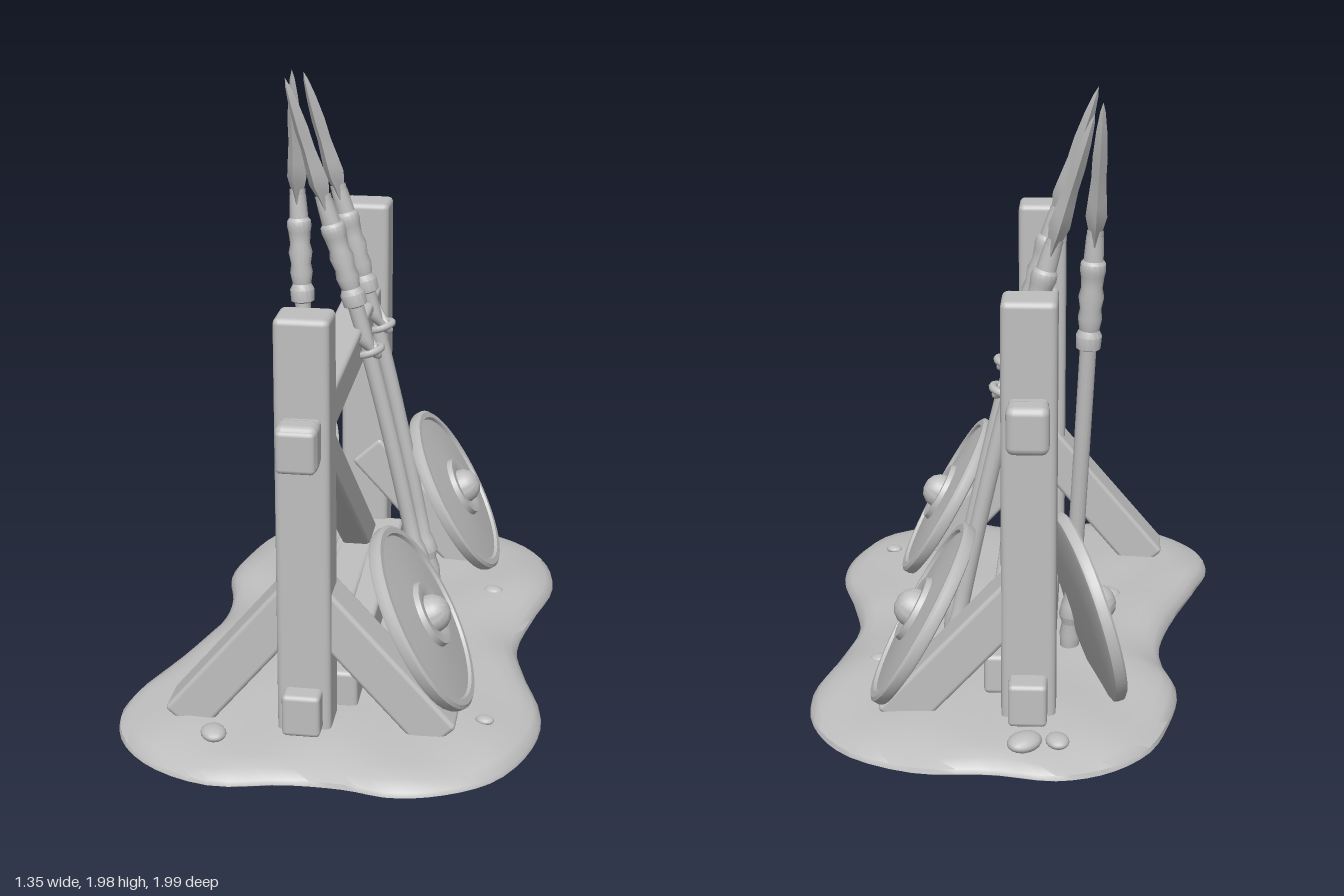
import * as THREE from 'three';
import { toCreasedNormals } from 'three/addons/utils/BufferGeometryUtils.js';
import { RoundedBoxGeometry } from 'three/addons/geometries/RoundedBoxGeometry.js';

const V = (x, y, z) => new THREE.Vector3(x, y, z);
const clay = new THREE.MeshStandardMaterial({ color: 0xbfbfbf });
clay.name = 'clay grey';

function add(parent, name, geometry) {
  const mesh = new THREE.Mesh(geometry, clay);
  mesh.name = name;
  parent.add(mesh);
  return mesh;
}

// Turns an object so its y axis runs from a to b and its z axis is near side
function align(object, a, b, side) {
  const y = b.clone().sub(a).normalize();
  const x = y.clone().cross(side).normalize();
  object.quaternion.setFromRotationMatrix(new THREE.Matrix4().makeBasis(x, y, x.clone().cross(y)));
}

// Squared timber between two points: w across, d along side
function beam(parent, name, a, b, w, d, side = V(0, 0, 1), r = 0.015) {
  const mesh = add(parent, name, new RoundedBoxGeometry(w, a.distanceTo(b), d, 2, r));
  align(mesh, a, b, side);
  mesh.position.copy(a).lerp(b, 0.5);
  return mesh;
}

function lathe(points, sides, crease = 0.6) {
  const g = new THREE.LatheGeometry(points.map(([r, y]) => new THREE.Vector2(r, y)), sides);
  return toCreasedNormals(g, crease);
}

// Earth mound: closed spline outline lofted inward in rings
function mound(parent) {
  const outline = [
    [-0.15, -1], [0.05, -0.97], [0.28, -0.97], [0.5, -0.87], [0.62, -0.7], [0.655, -0.5], [0.6, -0.25],
    [0.56, 0], [0.6, 0.2], [0.67, 0.45], [0.65, 0.65], [0.55, 0.85], [0.4, 0.95], [0.25, 0.985],
    [0.1, 0.96], [-0.08, 0.96], [-0.3, 0.995], [-0.5, 0.92], [-0.63, 0.78], [-0.675, 0.6], [-0.62, 0.4],
    [-0.52, 0.1], [-0.48, -0.1], [-0.49, -0.25], [-0.53, -0.42], [-0.5, -0.62], [-0.43, -0.82], [-0.3, -0.95]];
  const curve = new THREE.CatmullRomCurve3(outline.map(([x, z]) => V(x, 0, z)), true);
  const n = 96;
  const edge = curve.getPoints(n).slice(0, n);
  const rings = [[0, 0.012], [0.98, 0.008], [1, 0.02], [0.995, 0.035], [0.96, 0.055], [0.9, 0.07],
    [0.8, 0.085], [0.6, 0.092], [0.4, 0.095], [0.2, 0.095], [0, 0.095]];
  const pos = [], index = [];
  rings.forEach(([s, h], k) => edge.forEach((p) => {
    const x = p.x * s, z = p.z * s;
    const bump = k > 3 ? 0.008 * Math.sin(x * 13 + 1) * Math.sin(z * 11) : 0;
    pos.push(x, h + bump + 0.014 * (1 - z), z);
  }));
  for (let k = 0; k < rings.length - 1; k++) {
    for (let i = 0; i < n; i++) {
      const a = k * n + i, b = k * n + (i + 1) % n;
      index.push(a, b, b + n, a, b + n, a + n);
    }
  }
  const g = new THREE.BufferGeometry();
  g.setAttribute('position', new THREE.Float32BufferAttribute(pos, 3));
  // Reverse winding so the skin faces outward
  for (let i = 0; i < index.length; i += 3) [index[i + 1], index[i + 2]] = [index[i + 2], index[i + 1]];
  g.setIndex(index);
  add(parent, 'groundMound', toCreasedNormals(g, 0.8));
}

// Round shield with raised rim, hub ring and boss, facing along normal
function shield(parent, name, center, normal) {
  const profile = [[0, -0.012], [0.29, -0.025], [0.31, -0.02], [0.315, -0.01], [0.315, 0.012], [0.305, 0.02],
    [0.285, 0.02], [0.28, 0.01], [0.2, 0.018], [0.11, 0.025], [0.105, 0.042], [0.08, 0.042], [0.062, 0.036],
    [0.056, 0.06], [0.04, 0.08], [0.02, 0.09], [0, 0.092]];
  const mesh = add(parent, name, lathe(profile, 48));
  mesh.quaternion.setFromUnitVectors(V(0, 1, 0), normal.normalize());
  mesh.position.copy(center);
}

// Spear from butt a to tip b, flat blade, shaft bowed sideways by bow
function spear(parent, name, a, b, bow) {
  const group = new THREE.Group();
  group.name = name;
  const L = a.distanceTo(b);
  const shaft = [[0, 0], [0.02, 0.02], [0.03, 0.09], [0.036, 0.15], [0.03, 0.19], [0.042, 0.22],
    [0.036, 0.26], [0.027, 0.29]];
  for (let y = 0.4; y < L - 0.8; y += 0.1) shaft.push([0.027, y]);
  shaft.push([0.027, L - 0.4]);
  // Wrapped grip made of uneven turns
  const grip = [[0.02, L - 0.8], [0.04, L - 0.79], [0.042, L - 0.75], [0.032, L - 0.73], [0.039, L - 0.69],
    [0.034, L - 0.66], [0.041, L - 0.62], [0.034, L - 0.59], [0.038, L - 0.55], [0.042, L - 0.53],
    [0.04, L - 0.51], [0.032, L - 0.5], [0.028, L - 0.42]];
  const blade = [[0, L - 0.46], [0.034, L - 0.45], [0.05, L - 0.41], [0.08, L - 0.36], [0.07, L - 0.31],
    [0.055, L - 0.24], [0.055, L - 0.17], [0.04, L - 0.09], [0.02, L - 0.03], [0, L]];
  const parts = { shaft: lathe(shaft, 14), gripWrap: lathe(grip, 14), blade: lathe(blade, 4).scale(0.42, 1, 1) };
  for (const [part, g] of Object.entries(parts)) {
    const p = g.attributes.position;
    for (let i = 0; i < p.count; i++) p.setX(i, p.getX(i) + bow * Math.sin(Math.PI * p.getY(i) / L));
    add(group, part, g);
  }
  align(group, a, b, V(0, 0, 1));
  group.position.copy(a);
  parent.add(group);
}

export function createModel() {
  const root = new THREE.Group();
  root.name = 'weaponRack';
  mound(root);

  // Posts, rails and sill
  const X = -0.055, side = V(1, 0, 0);
  beam(root, 'frontPost', V(X, 0.05, 0.665), V(X, 1.43, 0.665), 0.145, 0.17, side, 0.02);
  beam(root, 'backPost', V(X, 0.05, -0.645), V(X, 1.455, -0.645), 0.145, 0.17, side, 0.02);
  beam(root, 'topRail', V(X, 1.055, 0.85), V(X, 1.095, -0.82), 0.135, 0.12, side);
  beam(root, 'bottomRail', V(X, 0.165, 0.8), V(X, 0.185, -0.8), 0.14, 0.12, side);
  beam(root, 'sill', V(-0.02, 0.15, 0.58), V(-0.02, 0.19, -0.6), 0.13, 0.22, side);
  beam(root, 'diagonalBrace', V(X, 0.99, 0.53), V(X, 0.21, -0.5), 0.12, 0.1, side);

  // Rail end caps
  [[1.06, 0.8], [1.09, -0.78]].forEach(([y, z]) =>
    beam(root, 'railEnd', V(X, y, z - 0.045), V(X, y, z + 0.045), 0.15, 0.13, side, 0.025));

  // Side braces
  beam(root, 'frontRightBrace', V(-0.06, 0.54, 0.64), V(-0.455, 0.07, 0.64), 0.14, 0.15);
  [0.645, -0.635].forEach((z) =>
    beam(root, 'leftBrace', V(-0.05, 0.53, z), V(0.37, 0.07, z), 0.14, 0.14));

  // Shields
  shield(root, 'frontShield', V(0.285, 0.37, 0.465), V(0.87, 0.49, 0));
  shield(root, 'backShield', V(0.285, 0.39, -0.57), V(0.87, 0.49, 0));
  shield(root, 'rightShield', V(-0.235, 0.37, -0.46), V(-0.93, 0.24, 0.27));

  // Spears
  spear(root, 'spearOne', V(0.24, 0.09, -0.13), V(-0.25, 1.98, -0.11), 0.035);
  spear(root, 'spearTwo', V(-0.17, 0.01, -0.21), V(-0.265, 1.97, -0.32), 0);
  spear(root, 'spearThree', V(0.24, 0.0, -0.4), V(-0.24, 1.95, -0.4), 0.035);

  // Rope lashings holding the spears to the rail
  [-0.1, -0.38].forEach((z) => {
    const loop = add(root, 'ropeLoop', new THREE.TorusGeometry(0.042, 0.013, 8, 20));
    loop.position.set(0.03, 1.07, z);
    loop.rotation.set(Math.PI / 2, 0.3, 0);
    const path = new THREE.CatmullRomCurve3([V(0.0, 1.13, z + 0.07), V(0.025, 1.1, z + 0.04),
      V(0.06, 1.055, z), V(0.025, 1.1, z - 0.04), V(0.0, 1.13, z - 0.07)]);
    add(root, 'ropeTie', new THREE.TubeGeometry(path, 20, 0.014, 8));
  });

  // Stones on the ground
  [[-0.3, 0.22, 0.05], [0.33, 0.08, 0.045], [-0.33, 0.8, 0.05], [0.45, -0.33, 0.035], [-0.05, -0.88, 0.06],
    [-0.15, -0.87, 0.045], [0.5, 0.6, 0.03], [0.22, 0.0, 0.025]].forEach(([x, z, r], i) => {
    const stone = add(root, 'stone', new THREE.IcosahedronGeometry(r, 2));
    stone.scale.set(1, 0.45, 0.8);
    stone.rotation.y = i;
    stone.position.set(x, 0.1 + 0.012 * (1 - z) - 0.01, z);
  });
  return root;
}
